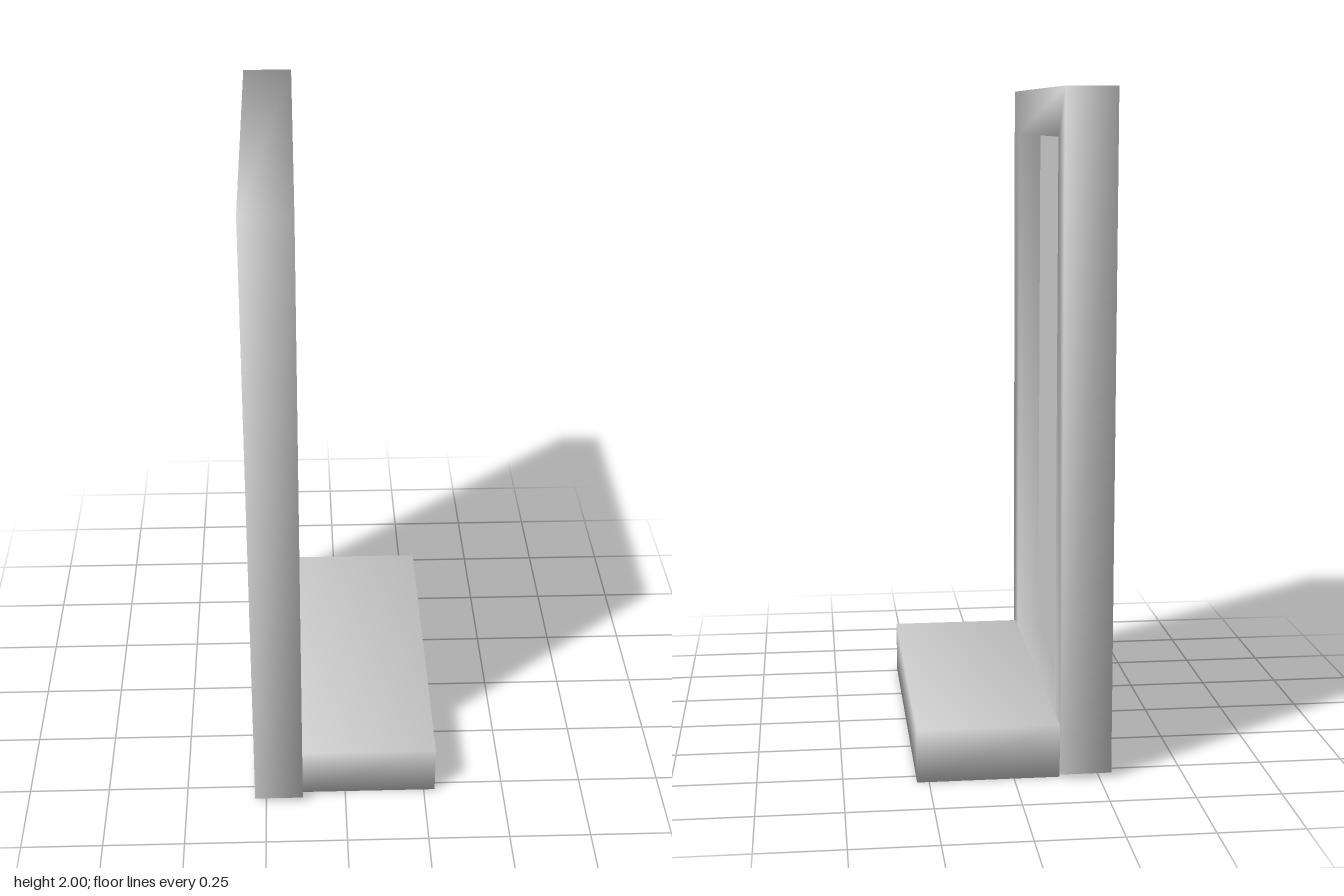
import * as THREE from 'three';
import { mergeVertices } from 'three/addons/utils/BufferGeometryUtils.js';

const material = new THREE.MeshStandardMaterial({ color: 0xcccccc });

// Weld all corners so the shading runs smoothly over the edges
function weld(geometry) {
  geometry.deleteAttribute('normal');
  geometry.deleteAttribute('uv');
  const welded = mergeVertices(geometry, 1e-4);
  welded.computeVertexNormals();
  return welded;
}

// Box given by its extents along each axis
function box([x0, x1], [y0, y1], [z0, z1]) {
  return new THREE.BoxGeometry(x1 - x0, y1 - y0, z1 - z0)
    .translate((x0 + x1) / 2, (y0 + y1) / 2, (z0 + z1) / 2);
}

function rectangle(path, x0, x1, y0, y1) {
  path.moveTo(x0, y0).lineTo(x1, y0).lineTo(x1, y1).lineTo(x0, y1).closePath();
  return path;
}

export function createModel() {
  const model = new THREE.Group();
  const add = (name, geometry) => {
    const mesh = new THREE.Mesh(geometry, material);
    mesh.name = name;
    model.add(mesh);
  };

  // Upright rectangular frame, drawn flat and turned to face +x
  const outline = rectangle(new THREE.Shape(), -0.572, 0.572, 0.015, 2);
  outline.holes.push(rectangle(new THREE.Path(), -0.455, 0.447, 0.155, 1.86));
  const frame = new THREE.ExtrudeGeometry(outline, { depth: 0.15, bevelEnabled: false });
  frame.rotateY(Math.PI / 2).translate(-0.285, 0, 0);
  add('frame', weld(frame));

  // Thin panel, recessed equally from both faces of the frame
  add('panel', box([-0.213, -0.207], [0.15, 1.865], [-0.45, 0.458]));

  // Low step in front of the panel
  add('step', weld(box([-0.135, 0.285], [0, 0.16], [-0.55, 0.53])));

  return model;
}
